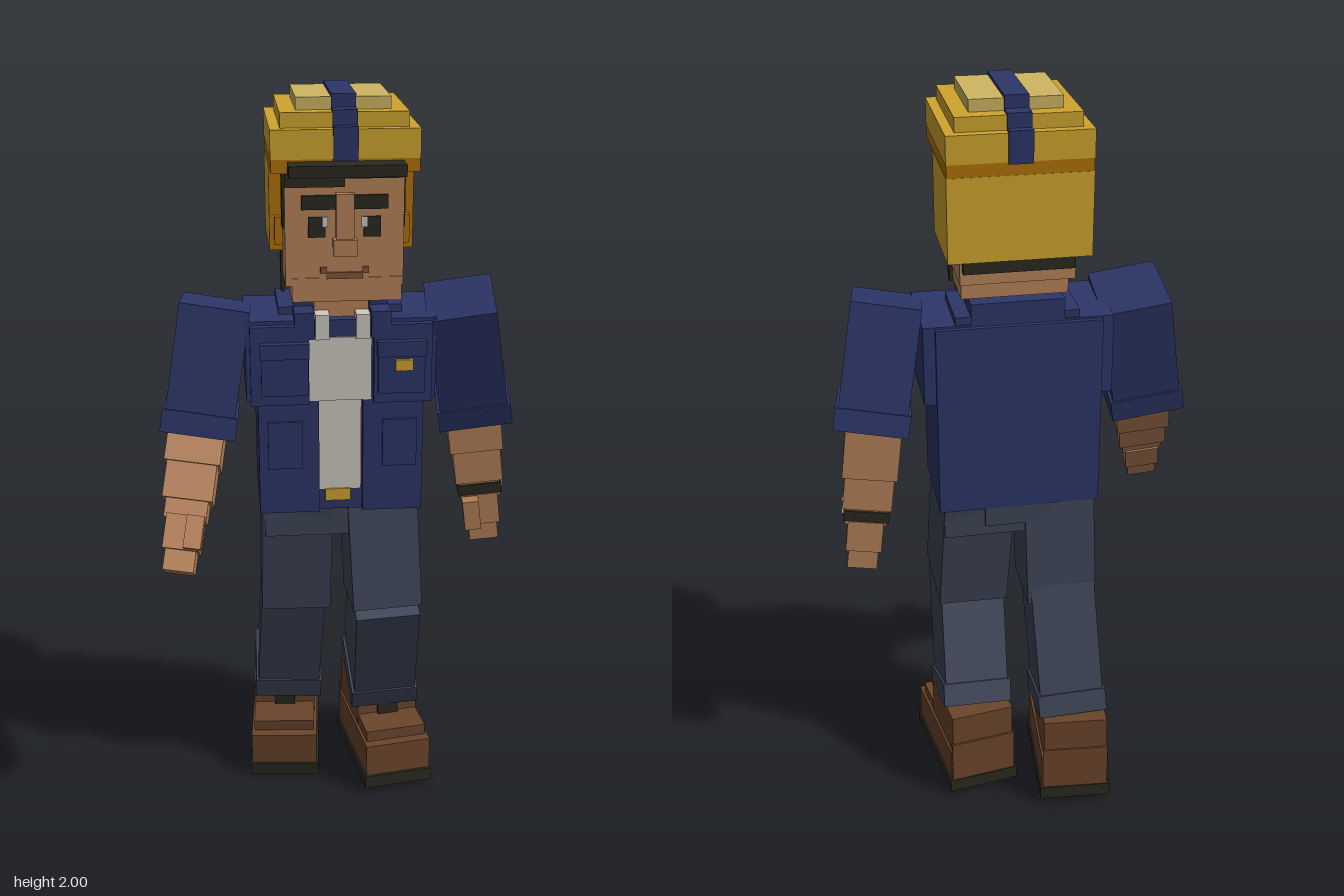
import * as THREE from 'three';

const paint = (name, color) => {
  const m = new THREE.MeshStandardMaterial({ color });
  m.name = name;
  return m;
};
const navy = paint('navy cloth', 0x2c3668);
const skin = paint('skin', 0xb9835a);
const lips = paint('lip brown', 0x875538);
const gold = paint('gold', 0xd0a42e);
const pale = paint('pale gold', 0xcfb662);
const amber = paint('amber', 0xb07208);
const denim = paint('grey denim', 0x3e4557);
const leather = paint('brown leather', 0x6b452b);
const black = paint('near black', 0x2a2920);
const cream = paint('off white', 0xcfcbc2);

// Box given by its centre and size
function box(parent, name, mat, [x, y, z], [w, h, d]) {
  const mesh = new THREE.Mesh(new THREE.BoxGeometry(w, h, d), mat);
  mesh.name = name;
  mesh.position.set(x, y, z);
  parent.add(mesh);
  return mesh;
}

// Box given by its lower and upper limits on each axis
function span(parent, name, mat, [x0, x1], [y0, y1], [z0, z1]) {
  return box(parent, name, mat, [(x0 + x1) / 2, (y0 + y1) / 2, (z0 + z1) / 2], [x1 - x0, y1 - y0, z1 - z0]);
}

// Group turned about a joint; its parts hang down along -y
function joint(parent, name, pos, rot) {
  const g = new THREE.Group();
  g.name = name;
  g.position.set(...pos);
  g.rotation.set(rot[0], rot[1], rot[2], 'YXZ');
  parent.add(g);
  return g;
}

function addHead(root) {
  const head = joint(root, 'head', [0, 0, 0], [0, 0, 0]);
  span(head, 'skull', skin, [-0.146, 0.146], [1.54, 1.86], [-0.12, 0.175]);
  span(head, 'jaw', skin, [-0.13, 0.142], [1.5, 1.56], [-0.11, 0.178]);
  span(head, 'neck', skin, [-0.07, 0.07], [1.36, 1.51], [-0.07, 0.09]);
  span(head, 'backHair', black, [-0.14, 0.14], [1.575, 1.63], [-0.14, -0.1]);
  span(head, 'nose', skin, [-0.022, 0.022], [1.62, 1.77], [0.17, 0.195]);
  span(head, 'noseTip', skin, [-0.029, 0.029], [1.62, 1.66], [0.17, 0.205]);
  span(head, 'mouth', lips, [-0.045, 0.045], [1.558, 1.574], [0.175, 0.182]);
  span(head, 'fringe', black, [-0.145, 0.0], [1.785, 1.83], [0.174, 0.183]);
  span(head, 'fringe', black, [0.0, 0.14], [1.805, 1.83], [0.174, 0.183]);
  for (const s of [-1, 1]) {
    box(head, 'mouthCorner', lips, [s * 0.052, 1.579, 0.177], [0.016, 0.016, 0.008]);
    box(head, 'eyebrow', black, [s * 0.063, 1.748, 0.18], [0.085, 0.034, 0.009]);
    box(head, 'eye', black, [s * 0.068, 1.687, 0.176], [0.042, 0.05, 0.008]);
    box(head, 'eyeWhite', cream, [s * 0.048, 1.7, 0.178], [0.014, 0.024, 0.008]);
    box(head, 'sideburn', black, [s * 0.147, 1.75, 0.13], [0.009, 0.14, 0.045]);
    box(head, 'chinStrap', black, [s * 0.147, 1.55, 0.045], [0.009, 0.11, 0.028]);
  }
}

function addHelmet(root) {
  const helmet = joint(root, 'helmet', [0, 0, 0.025], [0, 0, 0]);
  box(helmet, 'rim', amber, [0, 1.84, 0], [0.358, 0.034, 0.358]);
  box(helmet, 'shell', gold, [0, 1.891, 0], [0.36, 0.07, 0.36]);
  box(helmet, 'upperTier', gold, [0, 1.944, 0], [0.31, 0.036, 0.31]);
  box(helmet, 'topTier', pale, [0, 1.977, 0], [0.23, 0.03, 0.23]);
  box(helmet, 'visor', black, [0, 1.837, 0.205], [0.28, 0.028, 0.07]);
  box(helmet, 'backShell', gold, [0, 1.717, -0.16], [0.36, 0.214, 0.04]);
  for (const s of [-1, 1]) {
    box(helmet, 'sidePanel', gold, [s * 0.164, 1.717, -0.06], [0.032, 0.214, 0.232]);
    box(helmet, 'sidePanelEdge', amber, [s * 0.164, 1.717, 0.06], [0.032, 0.212, 0.009]);
    box(helmet, 'cheekPanel', amber, [s * 0.158, 1.665, 0.075], [0.02, 0.07, 0.03]);
  }
  // Stripe climbing over the tiers
  for (const [top, depth] of [[1.932, 0.37], [1.968, 0.324], [2.0, 0.244]]) {
    box(helmet, 'stripe', navy, [0, top - 0.04, 0], [0.06, 0.08, depth]);
  }
}

function addTorso(root) {
  const torso = joint(root, 'torso', [0, 0, 0], [0, 0, 0]);
  span(torso, 'jacketBody', navy, [-0.218, 0.212], [0.905, 1.43], [-0.138, 0.108]);
  span(torso, 'jacketChest', navy, [-0.248, 0.243], [1.22, 1.435], [-0.125, 0.12]);
  span(torso, 'yoke', navy, [-0.16, 0.16], [1.42, 1.455], [-0.12, 0.06]);
  span(torso, 'collarBack', navy, [-0.12, 0.12], [1.42, 1.49], [-0.125, -0.065]);
  span(torso, 'shirt', cream, [-0.09, 0.075], [1.22, 1.39], [0.1, 0.126]);
  span(torso, 'shirtLower', cream, [-0.062, 0.05], [0.965, 1.23], [0.1, 0.117]);
  span(torso, 'beltBuckle', gold, [-0.045, 0.022], [0.935, 0.968], [0.1, 0.122]);
  // Open jacket fronts, collars and pockets
  for (const s of [-1, 1]) {
    const c = s < 0 ? -0.007 : 0;
    box(torso, 'jacketFront', navy, [s * 0.133 + c, 1.065, 0.112], [0.158, 0.32, 0.026]);
    box(torso, 'lapel', navy, [s * 0.155 + c, 1.32, 0.125], [0.15, 0.21, 0.03]);
    box(torso, 'collarSide', navy, [s * 0.098, 1.45, -0.01], [0.045, 0.075, 0.17]);
    box(torso, 'collarTip', navy, [s * 0.098, 1.425, 0.1], [0.05, 0.07, 0.08]);
    box(torso, 'shirtCollar', cream, [s * 0.052, 1.42, 0.105], [0.036, 0.065, 0.065]);
    box(torso, 'chestPocket', navy, [s * 0.15, 1.31, 0.145], [0.12, 0.13, 0.02]);
    box(torso, 'pocketFlap', navy, [s * 0.15, 1.365, 0.152], [0.126, 0.04, 0.02]);
    box(torso, 'hipPocket', navy, [s * 0.15, 1.1, 0.126], [0.09, 0.13, 0.016]);
  }
  span(torso, 'badge', gold, [0.133, 0.178], [1.308, 1.337], [0.155, 0.164]);
  span(torso, 'hips', denim, [-0.205, 0.2], [0.82, 0.95], [-0.13, 0.09]);
  span(torso, 'backPatch', denim, [-0.09, 0.09], [0.85, 0.905], [-0.137, -0.12]);
}

function addArm(root, side, shoulder, upperRot, elbow, foreRot) {
  const upper = joint(root, side + 'UpperArm', shoulder, upperRot);
  box(upper, 'sleeve', navy, [0, -0.16, 0], [0.18, 0.32, 0.22]);
  box(upper, 'sleeveCuff', navy, [0, -0.305, 0], [0.195, 0.06, 0.232]);

  const fore = joint(root, side + 'Forearm', elbow, foreRot);
  box(fore, 'elbow', skin, [0, -0.05, 0], [0.145, 0.14, 0.16]);
  box(fore, 'forearm', skin, [0, -0.165, 0], [0.13, 0.1, 0.145]);
  box(fore, 'wrist', skin, [0, -0.235, 0], [0.11, 0.06, 0.125]);
  box(fore, 'palm', skin, [0, -0.3, 0], [0.095, 0.09, 0.135]);
  box(fore, 'fingers', skin, [0, -0.365, -0.005], [0.08, 0.07, 0.115]);
  const inward = side === 'left' ? -1 : 1;
  box(fore, 'thumb', skin, [inward * 0.03, -0.3, 0.08], [0.045, 0.085, 0.05]);
  return fore;
}

function addLeg(root, side, hip, thighRot, knee, shinRot, foot, footRot) {
  const thigh = joint(root, side + 'Thigh', hip, thighRot);
  box(thigh, 'thigh', denim, [0, -0.165, 0], [0.19, 0.33, 0.225]);
  const shin = joint(root, side + 'Shin', knee, shinRot);
  box(shin, 'shin', denim, [0, -0.18, 0], [0.178, 0.37, 0.205]);
  box(shin, 'trouserCuff', denim, [0, -0.35, 0], [0.192, 0.065, 0.215]);

  const boot = joint(root, side + 'Boot', foot, footRot);
  box(boot, 'sole', black, [0, 0.019, 0], [0.2, 0.038, 0.34]);
  box(boot, 'bootFoot', leather, [0, 0.085, 0], [0.19, 0.1, 0.325]);
  box(boot, 'bootInstep', leather, [0, 0.145, 0.03], [0.175, 0.045, 0.21]);
  box(boot, 'bootShaft', leather, [0, 0.165, -0.062], [0.178, 0.18, 0.2]);
  box(boot, 'heelPatch', leather, [0, 0.1, -0.162], [0.185, 0.13, 0.01]);
  box(boot, 'tongue', black, [0, 0.2, 0.04], [0.06, 0.07, 0.02]);
}

export function createModel() {
  const root = new THREE.Group();
  root.name = 'worker';
  addHead(root);
  addHelmet(root);
  addTorso(root);

  const leftArm = addArm(root, 'left', [0.315, 1.46, 0.03], [0.21, -0.1, 0.16], [0.372, 1.14, -0.055], [0.02, -0.1, 0.12]);
  addArm(root, 'right', [-0.318, 1.455, 0], [-0.15, -0.04, -0.16], [-0.372, 1.145, 0.055], [-0.54, -0.03, -0.15]);

  // Wristwatch on the left arm
  box(leftArm, 'watchBand', black, [0, -0.238, 0], [0.122, 0.03, 0.138]);
  box(leftArm, 'watchFace', cream, [0.062, -0.238, 0], [0.009, 0.034, 0.05]);

  addLeg(root, 'left', [0.108, 0.92, -0.02], [-0.13, 0.03, 0.04], [0.122, 0.615, 0.045], [0.37, 0.05, 0.04],
    [0.14, 0.018, -0.048], [0, 0.155, 0]);
  addLeg(root, 'right', [-0.115, 0.92, -0.02], [0.09, -0.02, -0.02], [-0.125, 0.62, -0.06], [0.27, -0.04, -0.05],
    [-0.148, 0.012, -0.15], [0.06, -0.08, 0]);
  return root;
}
